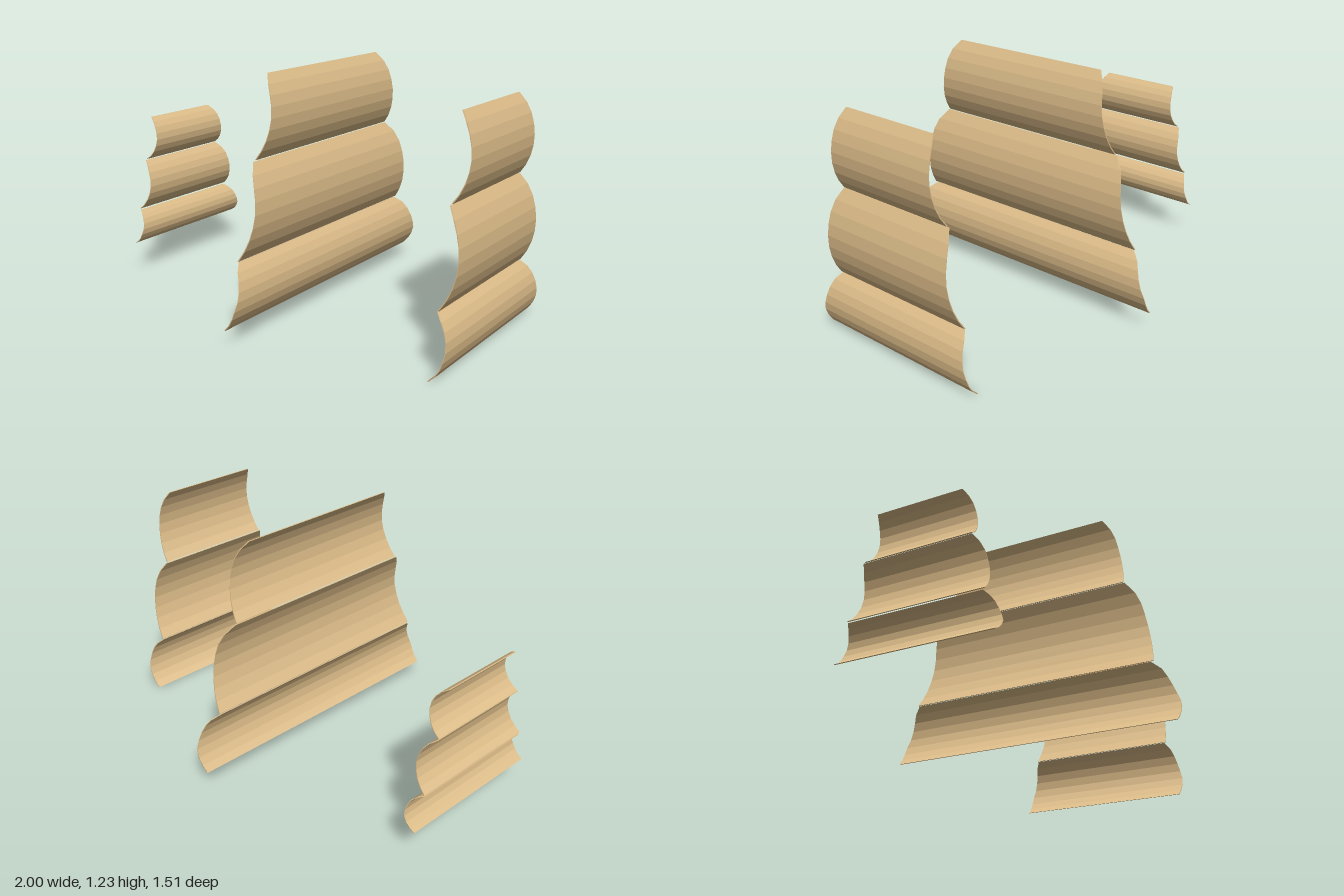
import * as THREE from 'three';

const SEGMENTS = 8;
const cloth = new THREE.MeshStandardMaterial({ color: 0xdbbb88, flatShading: true, side: THREE.DoubleSide });

// Half-width at each fraction of the way down, for the largest mast
const outlines = {
  topSail: [[0, 0.425], [0.11, 0.456], [0.23, 0.472], [1, 0.52]],
  middleSail: [[0, 0.53], [0.11, 0.57], [0.2, 0.588], [1, 0.65]],
  lowerSail: [[0, 0.64], [0.12, 0.687], [0.37, 0.718], [0.65, 0.752], [0.82, 0.755], [1, 0.747]],
};

function halfWidth(outline, t) {
  const i = Math.max(1, outline.findIndex(([s]) => s >= t - 1e-6));
  const [t0, w0] = outline[i - 1], [t1, w1] = outline[i];
  return THREE.MathUtils.mapLinear(t, t0, t1, w0, w1);
}

// Thin billowing sheet: a circular arc bulging to +x, slightly thicker at head and foot
function sailGeometry(x0, top, bottom, bulge, outline, scale) {
  const c = (top - bottom) / 2;
  const radius = (c * c + bulge * bulge) / (2 * bulge);
  const arc = Math.asin(c / radius);
  const positions = [], index = [];
  for (let r = 0; r <= SEGMENTS; r++) {
    const s = 1 - (2 * r) / SEGMENTS;
    const a = arc * s;
    const x = x0 + bulge - radius * (1 - Math.cos(a));
    const y = (top + bottom) / 2 + radius * Math.sin(a);
    const w = scale * halfWidth(outline, THREE.MathUtils.clamp((top - y) / (2 * c), 0, 1));
    const inner = x - 0.002 - 0.005 * Math.abs(s);
    positions.push(x, y, w, x, y, -w, inner, y, -w, inner, y, w);
    if (r === SEGMENTS) break;
    for (let k = 0; k < 4; k++) {
      const p = r * 4 + k, q = r * 4 + ((k + 1) % 4);
      index.push(p, p + 4, q + 4, p, q + 4, q);
    }
  }
  const e = SEGMENTS * 4;
  index.push(0, 1, 2, 0, 2, 3, e, e + 2, e + 1, e, e + 3, e + 2);
  const g = new THREE.BufferGeometry();
  g.setAttribute('position', new THREE.Float32BufferAttribute(positions, 3));
  g.setIndex(index);
  const flat = g.toNonIndexed();
  flat.computeVertexNormals();
  return flat;
}

// Each sail: foot x, top y, bottom y, bulge
const masts = [
  { name: 'foreMastSails', scale: 0.605, topSail: [0.925, 1.143, 0.758, 0.068],
    middleSail: [0.922, 0.752, 0.305, 0.074], lowerSail: [0.92, 0.3, 0.003, 0.072] },
  { name: 'mainMastSails', scale: 1, topSail: [0.03, 1.228, 0.845, 0.068],
    middleSail: [0.028, 0.838, 0.396, 0.072], lowerSail: [0.026, 0.39, 0.09, 0.068] },
  { name: 'rearMastSails', scale: 0.505, topSail: [-0.995, 0.86, 0.635, 0.068],
    middleSail: [-0.995, 0.628, 0.368, 0.068], lowerSail: [-0.995, 0.358, 0.182, 0.062] },
];

export function createModel() {
  const model = new THREE.Group();
  model.name = 'shipSails';
  for (const mast of masts) {
    const group = new THREE.Group();
    group.name = mast.name;
    for (const [name, outline] of Object.entries(outlines)) {
      const mesh = new THREE.Mesh(sailGeometry(...mast[name], outline, mast.scale), cloth);
      mesh.name = name;
      group.add(mesh);
    }
    model.add(group);
  }
  return model;
}
